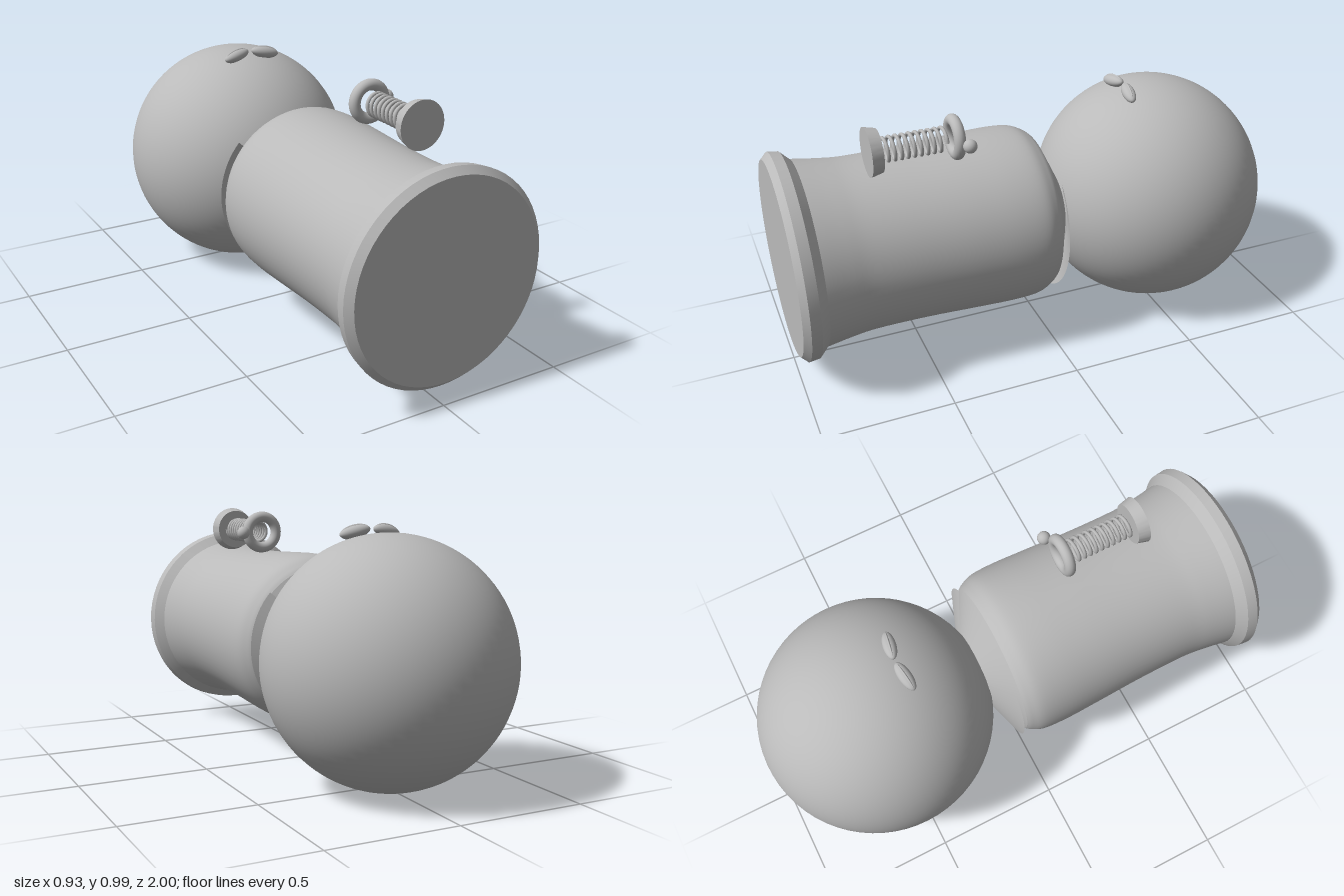
import * as THREE from 'three';
import { toCreasedNormals } from 'three/addons/utils/BufferGeometryUtils.js';

export function createModel() {
  const model = new THREE.Group();
  const grey = new THREE.MeshStandardMaterial({ color: 0xbababa, side: THREE.DoubleSide });
  grey.name = 'grey';

  function add(parent, name, geometry, x = 0, y = 0, z = 0) {
    const mesh = new THREE.Mesh(geometry, grey);
    mesh.name = name;
    mesh.position.set(x, y, z);
    parent.add(mesh);
    return mesh;
  }
  // Profile of [radius, z] pairs from back to front, turned around the z axis
  function turned(profile, phiStart = 0, phiLength = Math.PI * 2) {
    const points = profile.map(([r, z]) => new THREE.Vector2(r, z));
    return new THREE.LatheGeometry(points, 64, phiStart, phiLength).rotateX(Math.PI / 2);
  }
  const creased = (geometry) => toCreasedNormals(geometry, 0.35);
  const axisY = 0.47;

  // Round head
  add(model, 'head', new THREE.SphereGeometry(0.465, 64, 48), 0, axisY, -0.535);

  // Body with a gentle waist and a rounded shoulder
  const waist = new THREE.SplineCurve([
    [0.31, -0.02], [0.325, 0], [0.345, 0.05], [0.35, 0.15], [0.345, 0.3],
    [0.337, 0.5], [0.336, 0.7], [0.345, 0.8], [0.36, 0.9],
  ].map(([r, z]) => new THREE.Vector2(r, z)));
  add(model, 'body', turned(waist.getPoints(40).map((p) => [p.x, p.y])), 0, axisY);

  // Flared base plate closing the front end
  add(model, 'base', creased(turned([
    [0.355, 0.895], [0.395, 0.935], [0.4, 0.975], [0.375, 1], [0, 1],
  ])), 0, axisY);

  // Neck cone and the open collar around it, with its gap on top
  add(model, 'neck', turned([[0.15, -0.1], [0.31, -0.02]]), 0, axisY);
  const gap = 0.84;
  add(model, 'collar', turned([[0.165, -0.1], [0.325, -0.04]],
    Math.PI + gap, Math.PI * 2 - gap * 2), 0, axisY);

  // Bean shaped eyes with a raised band along each
  for (const side of [-1, 1]) {
    const eye = new THREE.Group();
    eye.name = side < 0 ? 'rightEye' : 'leftEye';
    add(eye, 'bean', new THREE.SphereGeometry(1, 32, 20).scale(0.06, 0.023, 0.025));
    add(eye, 'band', new THREE.SphereGeometry(1, 32, 20).scale(0.058, 0.027, 0.008));
    eye.position.set(side * 0.066, 0.933, -0.398);
    eye.rotation.set(0, -side * 0.16, -side * 0.2);
    model.add(eye);
  }

  // Spring plunger lying above the body
  const plunger = new THREE.Group();
  plunger.name = 'plunger';
  plunger.position.set(0.11, 0.9, 0);
  model.add(plunger);
  add(plunger, 'plungerDisc', creased(turned([
    [0, 0.62], [0.081, 0.62], [0.092, 0.665], [0, 0.665],
  ])));

  const turns = 10;
  const coil = [];
  for (let i = 0; i <= turns * 16; i++) {
    const a = (i / 16) * Math.PI * 2;
    coil.push(new THREE.Vector3(
      0.043 * Math.cos(a), 0.043 * Math.sin(a), 0.375 + 0.245 * i / (turns * 16)));
  }
  add(plunger, 'spring',
    new THREE.TubeGeometry(new THREE.CatmullRomCurve3(coil), turns * 24, 0.007, 8));

  add(plunger, 'ring', new THREE.TorusGeometry(0.064, 0.022, 20, 48), 0, 0, 0.335);
  add(plunger, 'ringBall', new THREE.SphereGeometry(0.026, 24, 16), 0.095, 0, 0.308);

  return model;
}
